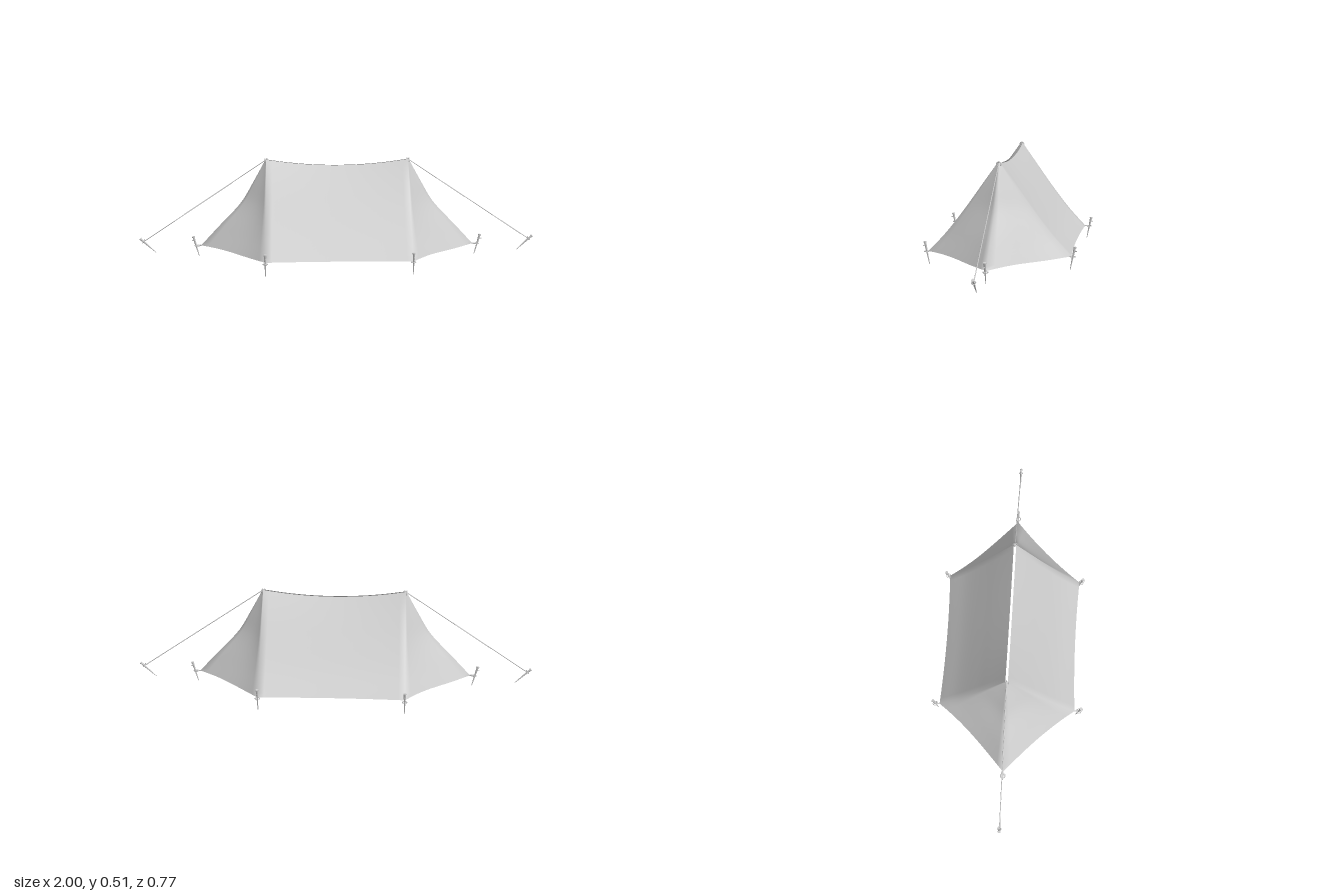
import * as THREE from 'three';

const grey = new THREE.MeshStandardMaterial({ color: 0xcccccc });
const cloth = new THREE.MeshStandardMaterial({ color: 0xcccccc, side: THREE.DoubleSide });
const V = (x, y, z) => new THREE.Vector3(x, y, z);
const CORNER = 0.355;

// straight tapered rod from a (radius ra) to b (radius rb)
function rod(name, a, b, ra, rb, sides = 8) {
  const d = b.clone().sub(a);
  const m = new THREE.Mesh(new THREE.CylinderGeometry(rb, ra, d.length(), sides), grey);
  m.position.copy(a).addScaledVector(d, 0.5);
  m.quaternion.setFromUnitVectors(V(0, 1, 0), d.normalize());
  m.name = name;
  return m;
}

// canopy: stacked hexagonal rings that shrink to the sagging ridge
function canopyGeometry() {
  const profile = new THREE.CatmullRomCurve3([ // end reach, height, half width
    V(0.69, 0.068, 0.345), V(0.6, 0.165, 0.256), V(0.482, 0.292, 0.158),
    V(0.42, 0.395, 0.085), V(0.358, 0.507, 0.006),
  ]);
  const rows = 24, endSegs = 10, sideSegs = 24;
  const cols = endSegs * 4 + sideSegs * 2;
  const pos = [], index = [];
  for (let r = 0; r <= rows; r++) {
    const t = r / rows;
    const { x: reach, y, z: half } = profile.getPoint(t);
    const corners = [[reach, 0], [CORNER, half], [-CORNER, half], [-reach, 0], [-CORNER, -half], [CORNER, -half]];
    corners.forEach(([x0, z0], k) => {
      const [x1, z1] = corners[(k + 1) % 6];
      const side = k % 3 === 1, n = side ? sideSegs : endSegs;
      for (let i = 0; i < n; i++) {
        const s = i / n, bow = 4 * s * (1 - s);
        const pull = side ? 1 - 0.03 * bow : 1 - 0.05 * bow * (1 - t);
        const x = x0 + (x1 - x0) * s, z = (z0 + (z1 - z0) * s) * pull;
        const sag = side ? 0.03 * bow * t * t : 0.003 * Math.sin(s * Math.PI * 2) * (1 - t);
        pos.push(side ? x : x * (1 - 0.02 * bow * (1 - t)), y - sag, z);
      }
    });
  }
  for (let r = 0; r < rows; r++) {
    for (let i = 0; i < cols; i++) {
      const a = r * cols + i, b = r * cols + (i + 1) % cols;
      index.push(a, a + cols, b, b, a + cols, b + cols);
    }
  }
  const g = new THREE.BufferGeometry();
  g.setAttribute('position', new THREE.Float32BufferAttribute(pos, 3));
  g.setIndex(index);
  g.computeVertexNormals();
  return g;
}

// peg with a flat head and a side hook pointing along out
function peg(name, top, tip, out) {
  const g = new THREE.Group();
  g.name = name;
  const axis = tip.clone().sub(top).normalize();
  const hook = top.clone().addScaledVector(axis, 0.022);
  g.add(rod('pegShaft', top, tip, 0.006, 0.0015));
  g.add(rod('pegHead', top, top.clone().addScaledVector(axis, 0.006), 0.0075, 0.0075));
  g.add(rod('pegHook', hook, hook.clone().addScaledVector(out, 0.014), 0.003, 0.002, 6));
  return g;
}

// small cord ring, standing in the plane whose normal is given
function ring(name, centre, radius, normal) {
  const m = new THREE.Mesh(new THREE.TorusGeometry(radius, 0.0022, 6, 16), grey);
  m.position.copy(centre);
  m.quaternion.setFromUnitVectors(V(0, 0, 1), normal);
  m.name = name;
  return m;
}

export function createModel() {
  const tent = new THREE.Group();
  tent.name = 'tent';

  const canopy = new THREE.Mesh(canopyGeometry(), cloth);
  canopy.name = 'canopy';
  tent.add(canopy);

  for (const sx of [1, -1]) {
    const out = V(sx, 0, 0);
    const shift = sx < 0 ? 0.014 : 0;

    // corner pegs and their cord loops
    for (const sz of [1, -1]) {
      const x = sx * 0.354;
      tent.add(peg('cornerPeg', V(x, 0.115, sz * (0.362 + shift)), V(x, 0.003, sz * (0.34 + shift)), V(0, 0, sz)));
      tent.add(ring('cornerLoop', V(x, 0.067, sz * (0.353 + shift)), 0.011, V(0, 1, 0)));
      tent.add(rod('cornerTie', V(x, 0.068, sz * 0.338), V(x, 0.067, sz * (0.357 + shift)), 0.003, 0.003, 6));
    }

    // end peg
    tent.add(peg('endPeg', V(sx * 0.728, 0.115, 0), V(sx * 0.7, 0.012, 0), out));
    tent.add(ring('endLoop', V(sx * 0.71, 0.067, 0), 0.012, V(0, 1, 0)));
    tent.add(rod('endTie', V(sx * 0.685, 0.069, 0), V(sx * 0.715, 0.067, 0), 0.003, 0.003, 6));

    // guy line from the ridge to its own slanted peg
    const apex = V(sx * 0.358, 0.504, 0), anchor = V(sx * 0.978, 0.09, 0);
    tent.add(rod('guyLine', apex, anchor, 0.0022, 0.0022, 6));
    tent.add(peg('guyPeg', V(sx * 0.996, 0.106, 0), V(sx * 0.918, 0.033, 0), V(sx * 0.6, -0.8, 0).negate()));
    tent.add(ring('guyLoop', anchor, 0.009, V(sx * 0.73, 0.68, 0)));
    tent.add(ring('apexLoop', V(sx * 0.36, 0.5, 0), 0.011, out));
    tent.add(rod('apexTip', V(sx * 0.35, 0.5, 0), V(sx * 0.35, 0.514, 0), 0.004, 0.002, 6));
  }
  return tent;
}
